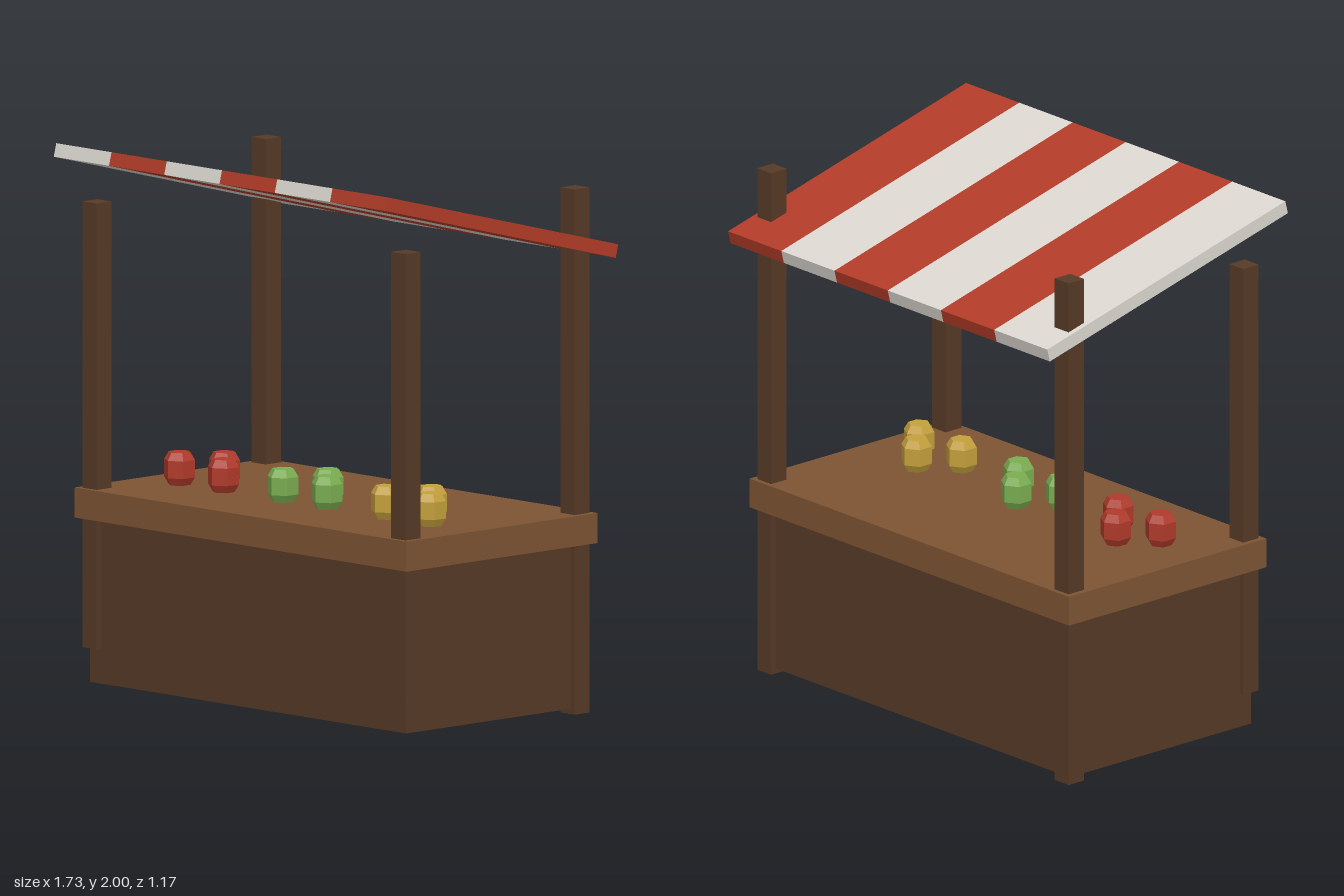
import * as THREE from 'three';

const flat = (name, color) => {
  const m = new THREE.MeshStandardMaterial({ color });
  m.name = name;
  return m;
};

export function createModel() {
  const stall = new THREE.Group();
  stall.name = 'marketStall';

  const darkWood = flat('darkWood', 0x573a26);
  const lightWood = flat('lightWood', 0x7d5433);
  const canvasWhite = flat('canvasWhite', 0xdcd8d0);
  const canvasRed = flat('canvasRed', 0xb23c28);
  const fruitRed = flat('fruitRed', 0xb03a2a);
  const fruitGreen = flat('fruitGreen', 0x7aad50);
  const fruitYellow = flat('fruitYellow', 0xc4a03c);

  const add = (parent, name, geometry, material, x, y, z) => {
    const mesh = new THREE.Mesh(geometry, material);
    mesh.name = name;
    mesh.position.set(x, y, z);
    parent.add(mesh);
    return mesh;
  };
  const box = (parent, name, material, w, h, d, x, y, z) =>
    add(parent, name, new THREE.BoxGeometry(w, h, d), material, x, y, z);

  // Cabinet and counter slab
  box(stall, 'cabinet', darkWood, 1.65, 0.62, 0.88, 0, 0.33, 0);
  box(stall, 'counterTop', lightWood, 1.73, 0.11, 0.956, 0, 0.675, 0);

  // Posts: the front pair hangs clear of the ground, the back pair pierces the awning
  for (const [side, s] of [['Left', 1], ['Right', -1]]) {
    box(stall, 'frontPost' + side, darkWood, 0.075, 1.63, 0.075, s * 0.806, 0.962, 0.423);
    box(stall, 'backPost' + side, darkWood, 0.075, 1.92, 0.075, s * 0.806, 0.96, -0.423);
  }

  // Striped awning, sloping down to the back
  const awning = new THREE.Group();
  awning.name = 'awning';
  awning.position.y = 1.826;
  awning.rotation.x = -0.253;
  stall.add(awning);
  const stripe = 1.73 / 6;
  for (let i = 0; i < 6; i++) {
    box(awning, 'awningStripe' + (i + 1), i % 2 ? canvasRed : canvasWhite,
      stripe, 0.05, 1.191, (i - 2.5) * stripe, 0, 0);
  }

  // Six-sided fruit with bevelled ends, three of each colour
  const profile = [[0, 0], [0.041, 0], [0.058, 0.028], [0.058, 0.092], [0.041, 0.12], [0, 0.12]]
    .map(([r, y]) => new THREE.Vector2(r, y));
  const fruitShape = new THREE.LatheGeometry(profile, 6).toNonIndexed();
  fruitShape.computeVertexNormals();
  const piles = [['redFruit', fruitRed, -0.54], ['greenFruit', fruitGreen, 0], ['yellowFruit', fruitYellow, 0.54]];
  for (const [name, material, x] of piles) {
    const pile = new THREE.Group();
    pile.name = name + 'Pile';
    pile.position.set(x, 0.73, 0);
    stall.add(pile);
    for (let i = -1; i <= 1; i++) {
      add(pile, name, fruitShape, material, i * 0.115, 0, i ? 0.155 : 0.04);
    }
  }

  return stall;
}
